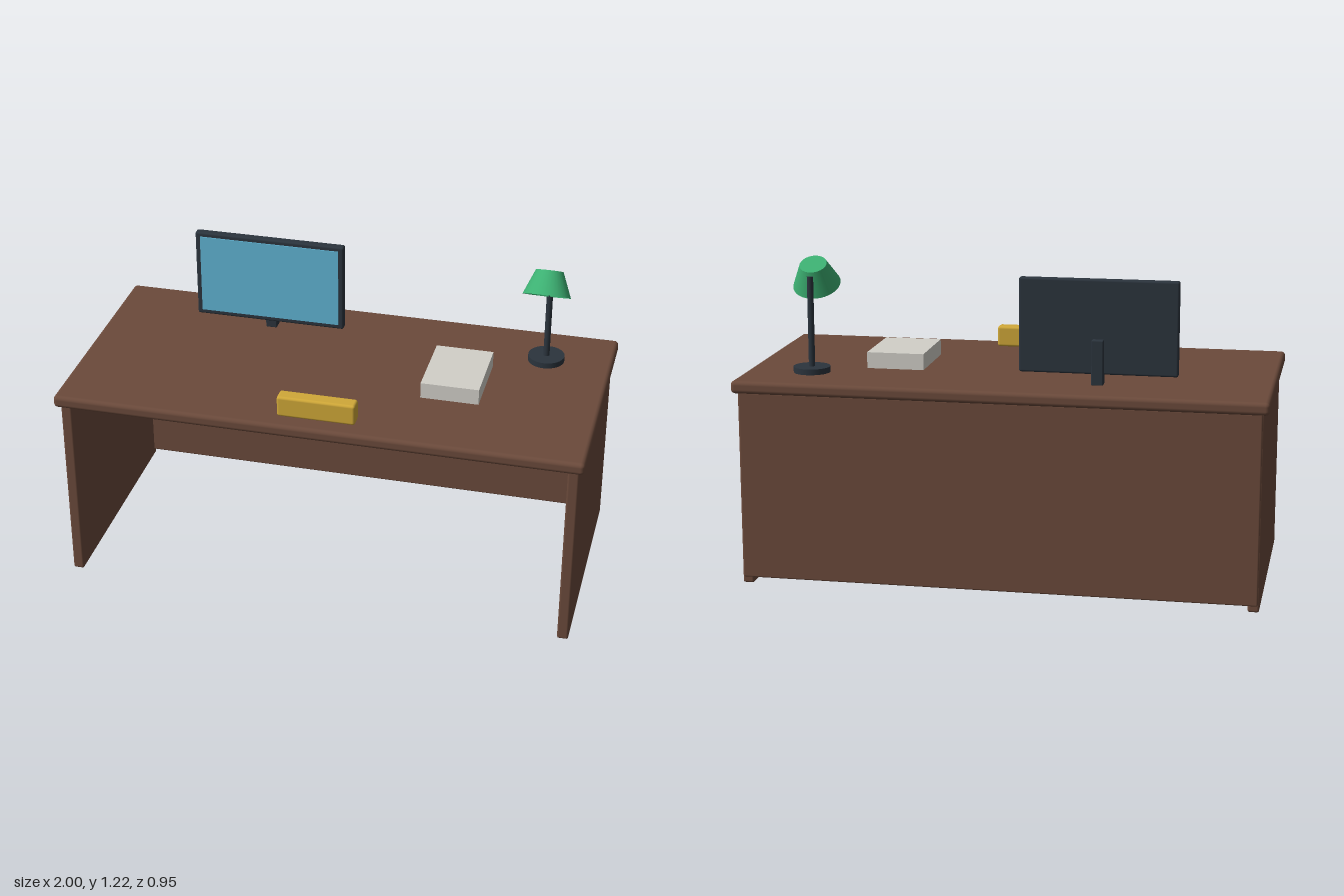
import * as THREE from 'three';
import { RoundedBoxGeometry } from 'three/addons/geometries/RoundedBoxGeometry.js';

function material(name, color) {
  const m = new THREE.MeshStandardMaterial({ color });
  m.name = name;
  return m;
}

export function createModel() {
  const model = new THREE.Group();
  model.name = 'desk';
  const wood = material('wood', 0x6b4a3b);
  const dark = material('darkMetal', 0x2b343d);
  const blue = material('screenBlue', 0x60b4d4);
  const yellow = material('yellow', 0xd0a838);
  const paperWhite = material('paperWhite', 0xd2d0c9);
  const green = material('shadeGreen', 0x3cb072);
  green.side = THREE.DoubleSide;

  const add = (parent, name, geometry, mat, x, y, z) => {
    const mesh = new THREE.Mesh(geometry, mat);
    mesh.name = name;
    mesh.position.set(x, y, z);
    parent.add(mesh);
    return mesh;
  };
  // Box given by its minimum and maximum corners, with an optional edge radius
  const box = (parent, name, mat, [x0, y0, z0], [x1, y1, z1], r = 0) => {
    const size = [x1 - x0, y1 - y0, z1 - z0];
    const geometry = r ? new RoundedBoxGeometry(...size, 3, r) : new THREE.BoxGeometry(...size);
    return add(parent, name, geometry, mat, (x0 + x1) / 2, (y0 + y1) / 2, (z0 + z1) / 2);
  };

  // Desk
  box(model, 'deskTop', wood, [-1, 0.742, -0.475], [1, 0.79, 0.475], 0.016);
  box(model, 'leftPanel', wood, [0.938, 0, -0.45], [0.98, 0.745, 0.45], 0.008);
  box(model, 'rightPanel', wood, [-0.98, 0, -0.45], [-0.938, 0.745, 0.45], 0.008);
  box(model, 'backPanel', wood, [-0.975, 0.025, -0.457], [0.975, 0.745, -0.427], 0.006);

  // Monitor
  const monitor = new THREE.Group();
  monitor.name = 'monitor';
  model.add(monitor);
  box(monitor, 'monitorCase', dark, [-0.65, 0.825, -0.267], [-0.055, 1.18, -0.233], 0.008);
  box(monitor, 'screen', blue, [-0.63, 0.845, -0.235], [-0.075, 1.163, -0.229]);
  box(monitor, 'monitorStand', dark, [-0.375, 0.788, -0.294], [-0.331, 0.958, -0.25], 0.004);

  // Objects on the desk
  box(model, 'yellowBlock', yellow, [-0.149, 0.79, 0.352], [0.147, 0.872, 0.41], 0.01);
  box(model, 'paperStack', paperWhite, [0.336, 0.79, -0.15], [0.557, 0.852, 0.15]);

  // Lamp with a tilted, open shade
  const lamp = new THREE.Group();
  lamp.name = 'lamp';
  lamp.position.set(0.747, 0, -0.25);
  model.add(lamp);
  add(lamp, 'lampBase', new THREE.CylinderGeometry(0.07, 0.07, 0.022, 32), dark, 0, 0.801, 0);
  add(lamp, 'lampPole', new THREE.CylinderGeometry(0.012, 0.012, 0.35, 16), dark, 0, 0.98, 0);
  const shade = new THREE.Group();
  shade.name = 'lampShade';
  shade.position.set(0, 1.154, 0.068);
  shade.rotation.x = -0.506;
  lamp.add(shade);
  add(shade, 'shadeWall', new THREE.CylinderGeometry(0.052, 0.091, 0.095, 32, 1, true), green, 0, 0, 0);
  add(shade, 'shadeCap', new THREE.CircleGeometry(0.052, 32).rotateX(-Math.PI / 2), green, 0, 0.0475, 0);

  return model;
}
